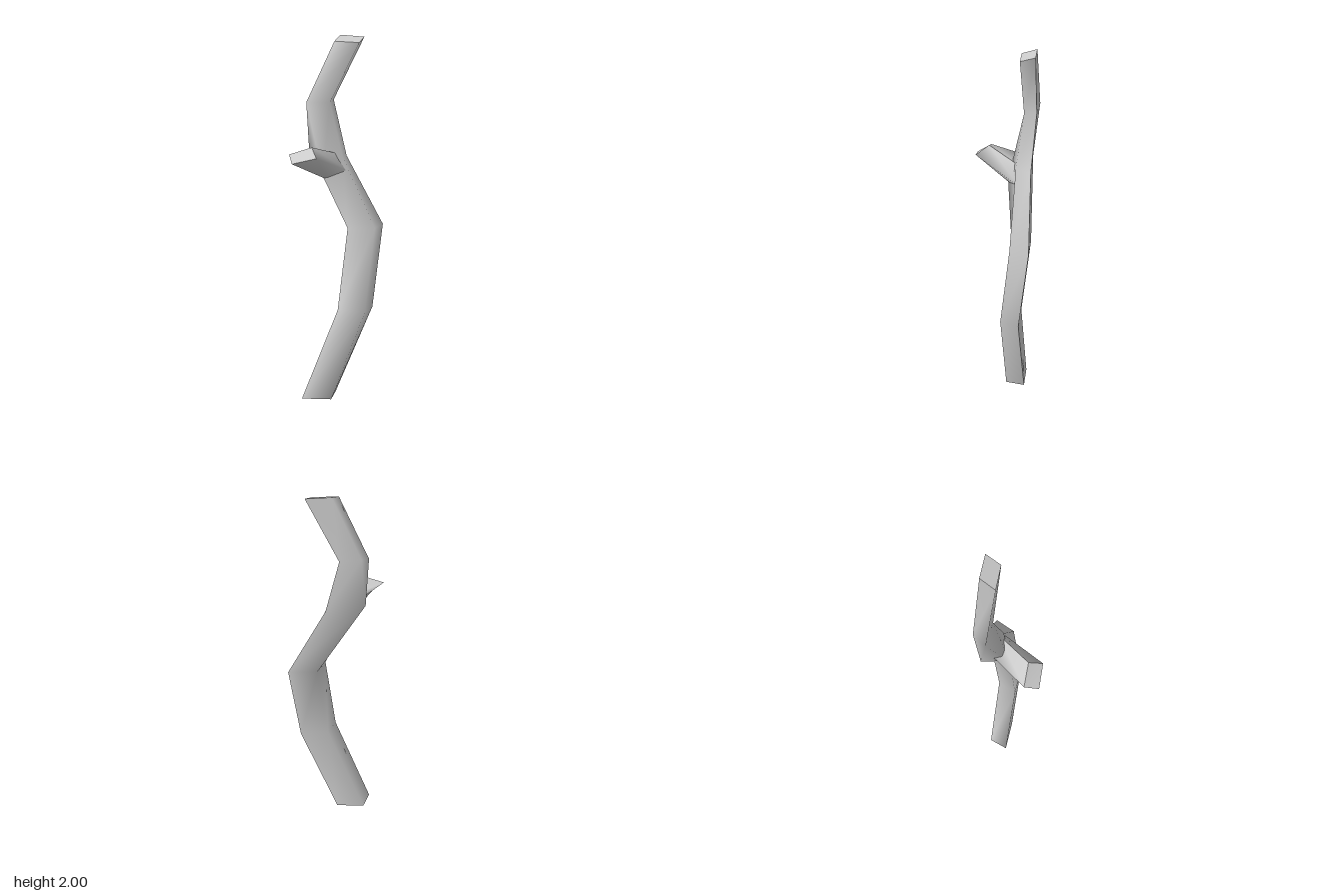
import * as THREE from 'three';

const bark = new THREE.MeshStandardMaterial({ color: 0xcccccc });
bark.name = 'bark grey';

// Smooth four-sided tube through rings of corners; one sharp seam runs along the first corner
function limb(name, rings) {
  const pos = [], index = [];
  rings.forEach(r => [...r, r[0]].forEach(p => pos.push(...p)));
  for (let k = 0; k < rings.length - 1; k++) {
    for (let i = 0; i < 4; i++) {
      const a = k * 5 + i, b = a + 5;
      index.push(a, b, a + 1, a + 1, b, b + 1);
    }
  }
  // flat cut ends with their own corners
  const cap = corners => {
    const s = pos.length / 3;
    corners.forEach(p => pos.push(...p));
    index.push(s, s + 1, s + 2, s, s + 2, s + 3);
  };
  cap(rings[0]);
  cap([...rings[rings.length - 1]].reverse());
  const g = new THREE.BufferGeometry();
  g.setAttribute('position', new THREE.Float32BufferAttribute(pos, 3));
  g.setIndex(index);
  g.computeVertexNormals();
  const mesh = new THREE.Mesh(g, bark);
  mesh.name = name;
  return mesh;
}

export function createModel() {
  const group = new THREE.Group();
  group.name = 'branch';

  // Corners per ring: back right, front right, front left, back left (as seen from the front)
  group.add(limb('trunk', [
    [[0.0, 0, -0.085], [-0.04, 0, 0.015], [-0.2, 0, -0.02], [-0.15, 0.005, -0.115]],
    [[0.2, 0.52, -0.03], [0.14, 0.52, 0.063], [-0.005, 0.53, 0.032], [0.05, 0.54, -0.062]],
    [[0.263, 0.98, -0.075], [0.2, 0.98, 0.018], [0.055, 0.98, -0.005], [0.11, 0.99, -0.105]],
    [[0.065, 1.36, -0.105], [0.03, 1.37, -0.03], [-0.08, 1.27, 0], [-0.135, 1.4, -0.14]],
    [[0.0, 1.66, -0.14], [-0.03, 1.65, -0.078], [-0.152, 1.65, -0.11], [-0.105, 1.68, -0.17]],
    [[0.16, 1.99, -0.112], [0.12, 1.963, -0.04], [-0.008, 1.97, -0.062], [0.035, 2.0, -0.135]],
  ]));

  // Side twig, its root pushed a little into the trunk
  const tip = [[-0.15, 1.44, 0.095], [-0.136, 1.393, 0.168], [-0.26, 1.365, 0.15], [-0.265, 1.403, 0.075]];
  const root = [[0.0, 1.385, -0.04], [0.04, 1.3, -0.015], [-0.075, 1.26, -0.002], [-0.13, 1.4, -0.06]];
  const sunk = root.map((q, i) => q.map((v, j) => v + (v - tip[i][j]) * 0.15));
  group.add(limb('sideTwig', [sunk, tip]));

  return group;
}
